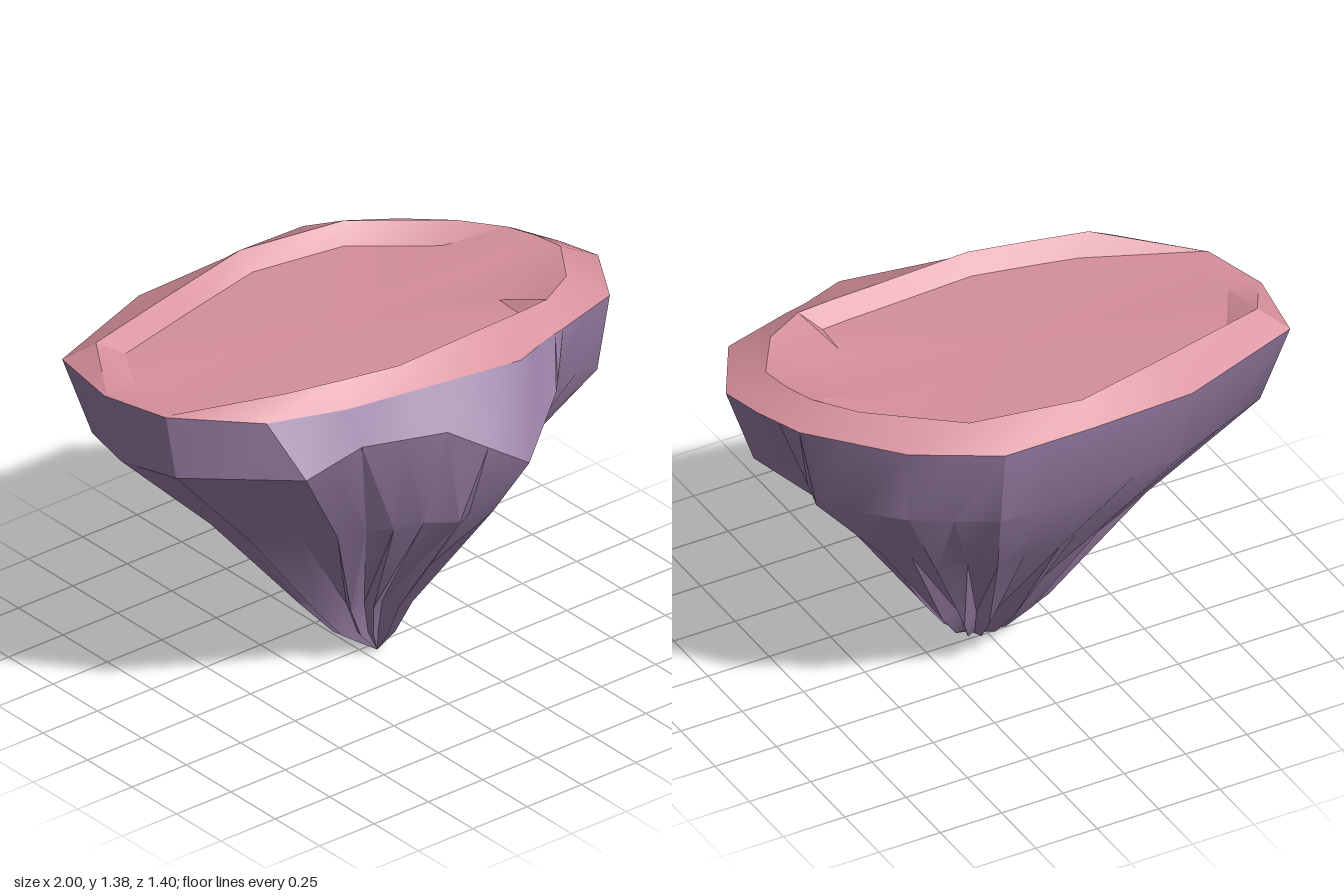
import * as THREE from 'three';
import { toCreasedNormals } from 'three/addons/utils/BufferGeometryUtils.js';

// Outlines run front -> +x side -> back -> -x side, one entry per column.
const rim = [ // x, z at the height of the plateau edge
  [0.31, 0.53], [0.48, 0.47], [0.57, 0.45], [0.85, 0.37], [1, 0.12], [0.96, -0.04],
  [0.89, -0.22], [0.62, -0.53], [0.32, -0.705], [-0.05, -0.705], [-0.45, -0.69], [-0.95, -0.51],
  [-1, -0.21], [-0.93, 0.05], [-0.68, 0.31], [-0.4, 0.41], [-0.12, 0.46]
].map(([x, z]) => [x, 1.31, z]);

const shoulder = [ // widest rock line
  [0.21, 1, 0.7], [0.44, 1.15, 0.57], [0.56, 1.13, 0.44], [0.8, 1.02, 0.36], [0.88, 0.98, 0.13],
  [0.77, 1, 0], [0.82, 0.97, -0.22], [0.6, 1, -0.5], [0.32, 1, -0.67], [-0.05, 1, -0.67],
  [-0.43, 1, -0.63], [-0.86, 1, -0.45], [-0.93, 1.02, -0.2], [-0.9, 1.06, 0.07],
  [-0.62, 1.12, 0.46], [-0.38, 1.18, 0.48], [-0.06, 1.165, 0.57]
];

const waist = [ // where the gullies begin
  [0.13, 0.78, 0.59], [0.27, 0.76, 0.45], [0.42, 0.72, 0.3], [0.57, 0.7, 0.2], [0.62, 0.73, 0.07],
  [0.55, 0.72, -0.07], [0.55, 0.66, -0.2], [0.42, 0.65, -0.38], [0.22, 0.65, -0.47], [-0.03, 0.65, -0.47],
  [-0.25, 0.65, -0.42], [-0.48, 0.63, -0.3], [-0.57, 0.66, -0.14], [-0.55, 0.67, 0.06],
  [-0.37, 0.74, 0.33], [-0.2, 0.76, 0.44], [-0.02, 0.79, 0.59]
];

const crest = [ // raised lip around the hollow; it drops away at the -x side
  [0.3, 0.36], [0.45, 0.355], [0.58, 0.345], [0.74, 0.26], [0.86, 0.08], [0.84, -0.04],
  [0.8, -0.15], [0.69, -0.3], [0.38, -0.55], [-0.04, -0.62], [-0.42, -0.535], [-0.86, -0.43],
  [-0.99, -0.21], [-0.92, 0.05], [-0.57, 0.28], [-0.36, 0.33], [-0.13, 0.38]
].map(([x, z], i) => [x, i === 12 || i === 13 ? 1.315 : 1.38, z]);

// Shrink a ring toward a vertical axis and scale its height
const taper = (ring, cx, cz, s, sy) =>
  ring.map(([x, y, z]) => [cx + (x - cx) * s, y * sy, cz + (z - cz) * s]);

// Insert a column between every pair, pulled toward the axis to cut a gully
const gully = (ring, depth) => ring.flatMap((p, i) => {
  const q = ring[(i + 1) % ring.length];
  const m = p.map((v, k) => (v + q[k]) / 2);
  const s = depth * (i % 3 === 1 ? 1.3 : 1);
  return [p, [m[0] + (0.05 - m[0]) * s, m[1], m[2] + (0.0 - m[2]) * s]];
});

// Skin closed rings, each continuing outward-facing from the one before
function loft(rings, crease) {
  const n = rings[0].length, index = [];
  for (let r = 0; r < rings.length - 1; r++) {
    for (let j = 0; j < n; j++) {
      const a = r * n + j, b = r * n + (j + 1) % n;
      index.push(a, b, b + n, a, b + n, a + n);
    }
  }
  const g = new THREE.BufferGeometry();
  g.setAttribute('position', new THREE.Float32BufferAttribute(rings.flat(2), 3));
  g.setIndex(index);
  return toCreasedNormals(g, crease);
}

const point = (p, n) => Array.from({ length: n }, () => p);

function addMesh(group, name, geometry, color) {
  const mesh = new THREE.Mesh(geometry, new THREE.MeshStandardMaterial({ color }));
  mesh.name = name;
  group.add(mesh);
}

export function createModel() {
  const group = new THREE.Group();
  group.name = 'floatingIsland';

  // Rock underside: tip, root, gullied spurs, waist, shoulder, edge
  const spurs = taper(waist, 0.05, -0.06, 0.4, 0.33);
  const root = taper(spurs, 0.05, 0.02, 0.55, 0.4);
  const rock = [
    point([0.05, 0, 0.04], rim.length * 2),
    gully(root, 0.25), gully(spurs, 0.27), gully(waist, 0.05), gully(shoulder, 0), gully(rim, 0)
  ];
  addMesh(group, 'rockUnderside', loft(rock, 0.5), 0x957ba1);

  // Plateau: outer slope, raised lip, hollow floor (gentler on the +x side)
  const floor = crest.map(([x, y, z], i) => {
    const s = i >= 3 && i <= 6 ? 0.7 : 0.88;
    return [x * s, 1.315, -0.1 + (z + 0.1) * s];
  });
  const plateau = [rim, crest, floor, point([-0.05, 1.315, -0.1], rim.length)];
  addMesh(group, 'plateau', loft(plateau, 0.5), 0xd58f9b);

  return group;
}
